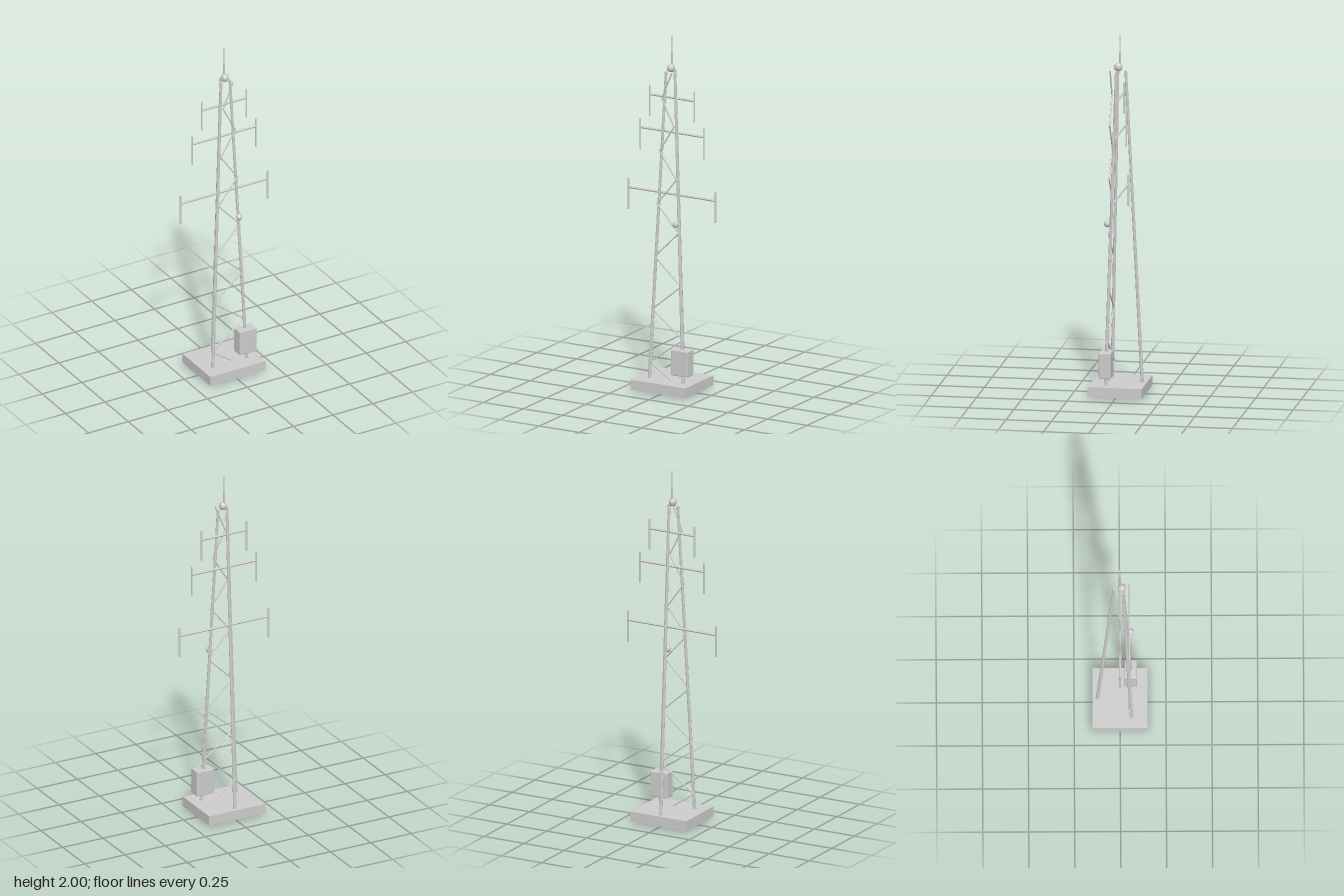
import * as THREE from 'three';
import { RoundedBoxGeometry } from 'three/addons/geometries/RoundedBoxGeometry.js';

export function createModel() {
  const model = new THREE.Group();
  model.name = 'latticeMast';
  const steel = new THREE.MeshStandardMaterial({ color: 0xcccccc, flatShading: true });
  steel.name = 'galvanised steel';

  const add = (name, geometry, x = 0, y = 0, z = 0) => {
    const mesh = new THREE.Mesh(geometry, steel);
    mesh.name = name;
    mesh.position.set(x, y, z);
    model.add(mesh);
    return mesh;
  };

  // Straight rod between two points
  const rod = (name, from, to, radius, sides = 6, topRadius = radius) => {
    const a = new THREE.Vector3(...from);
    const b = new THREE.Vector3(...to);
    const dir = b.clone().sub(a);
    const mesh = add(name, new THREE.CylinderGeometry(topRadius, radius, dir.length(), sides));
    mesh.position.copy(a).add(b).multiplyScalar(0.5);
    mesh.quaternion.setFromUnitVectors(new THREE.Vector3(0, 1, 0), dir.normalize());
    return mesh;
  };

  // Foundation slab
  add('foundation', new THREE.BoxGeometry(0.348, 0.056, 0.3), 0, 0.037, 0);

  // Three legs leaning in toward the top
  [30, 150, 270].forEach((deg) => {
    const t = THREE.MathUtils.degToRad(deg);
    const at = (r, y) => [r * Math.cos(t), y, r * Math.sin(t)];
    rod('leg', at(0.125, 0.03), at(0.032, 1.8), 0.0095, 8, 0.0075);
  });

  // Zigzag bracing across the front
  const steps = 12;
  const node = (i) => {
    const halfWidth = THREE.MathUtils.lerp(0.117, 0.027, i / steps);
    return [i % 2 ? -halfWidth : halfWidth, 0.003 + i * 0.15, 0.05];
  };
  for (let i = 0; i < steps; i++) rod('brace', node(i), node(i + 1), 0.004, 6);

  // Crossarms with an upright element at each end
  [[1.105, 0.275], [1.455, 0.2], [1.65, 0.14]].forEach(([y, half]) => {
    rod('crossarm', [-half, y, 0], [half, y, 0], 0.0065, 6);
    const mid = y === 1.65 ? 1.615 : y - 0.038;
    for (const side of [-1, 1]) {
      rod('antennaElement', [side * half, mid - 0.0875, 0], [side * half, mid + 0.0875, 0], 0.005, 6);
    }
  });

  // Beacon, side lamp and lightning rod
  add('topBeacon', new THREE.SphereGeometry(0.024, 8, 6), 0, 1.82, 0.01);
  add('sideLamp', new THREE.SphereGeometry(0.019, 8, 6), 0.06, 0.955, 0.06);
  rod('lightningRodBase', [0, 1.8, 0], [0, 1.9, 0], 0.0045, 6);
  rod('lightningRodTip', [0, 1.9, 0], [0, 2, 0], 0.0025, 6);

  // Equipment cabinet on the left front leg
  add('cabinet', new RoundedBoxGeometry(0.106, 0.146, 0.066, 1, 0.005), 0.0995, 0.18, 0.059);

  return model;
}
